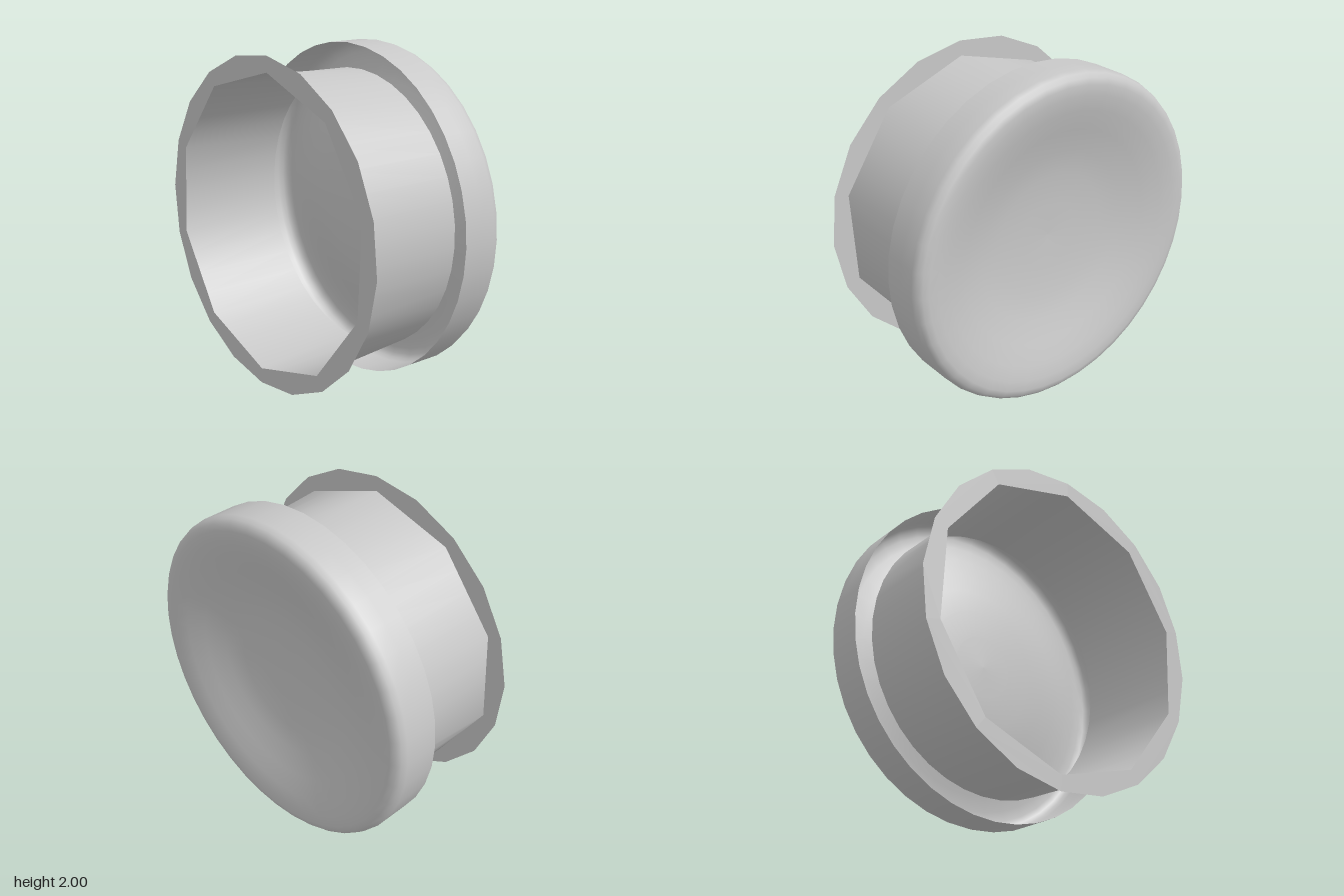
import * as THREE from 'three';

const SIDES = 40;
const BACK = -0.443;    // open end of the neck
const SHOULDER = 0.165; // rear rim of the cap
const NECK_END = 0.235; // the neck reaches a little way into the cap
const NECK_R = 0.888, NECK_END_R = 0.845;
const TWIST = THREE.MathUtils.degToRad(3); // the ten-sided end is turned slightly

// Radius of a ten-sided polygon, with a corner at angle 0
function decagonRadius(angle, r) {
  const step = Math.PI / 5;
  const a = ((angle % step) + step) % step;
  return r * Math.cos(step / 2) / Math.cos(a - step / 2);
}

// Corners of a regular polygon
function polygon(sides, r) {
  return Array.from({ length: sides }, (_, i) => {
    const a = Math.PI / 2 + (i * 2 * Math.PI) / sides;
    return new THREE.Vector2(r * Math.cos(a), r * Math.sin(a));
  });
}

export function createModel() {
  const group = new THREE.Group();
  const grey = new THREE.MeshStandardMaterial({ color: 0xc8c8c8, side: THREE.DoubleSide });
  grey.name = 'light grey';

  const add = (name, geometry) => {
    const mesh = new THREE.Mesh(geometry, grey);
    mesh.name = name;
    mesh.position.y = 1;
    group.add(mesh);
  };

  // Cap: thin shell with a rounded edge and a dished face
  const profile = [
    [1, SHOULDER], [1, 0.28], [1, 0.38], [0.988, 0.413], [0.965, 0.434], [0.93, 0.443],
    [0.87, 0.44], [0.78, 0.422], [0.66, 0.385], [0.52, 0.343], [0.38, 0.316],
    [0.2, 0.3], [0, 0.295],
  ].map(([r, x]) => new THREE.Vector2(r, x));
  add('cap', new THREE.LatheGeometry(profile, SIDES).rotateZ(-Math.PI / 2));

  // Neck: open tube going from a circle inside the cap to a decagon at the back
  const neck = new THREE.CylinderGeometry(1, 1, NECK_END - BACK, SIDES, 1, true);
  const p = neck.attributes.position;
  for (let i = 0; i < p.count; i++) {
    const angle = Math.atan2(p.getZ(i), p.getX(i));
    const r = p.getY(i) > 0 ? NECK_END_R : decagonRadius(angle, NECK_R);
    p.setX(i, r * Math.cos(angle));
    p.setZ(i, r * Math.sin(angle));
  }
  neck.translate(0, (NECK_END + BACK) / 2, 0).rotateZ(-Math.PI / 2).rotateX(TWIST);
  add('neck', neck);

  // Flange: flat faceted ring around the open end
  const ring = new THREE.Shape(polygon(20, 0.98));
  ring.holes.push(new THREE.Path(polygon(10, NECK_R)));
  add('flange', new THREE.ShapeGeometry(ring)
    .rotateY(-Math.PI / 2).rotateX(TWIST).translate(BACK, 0, 0));

  return group;
}
